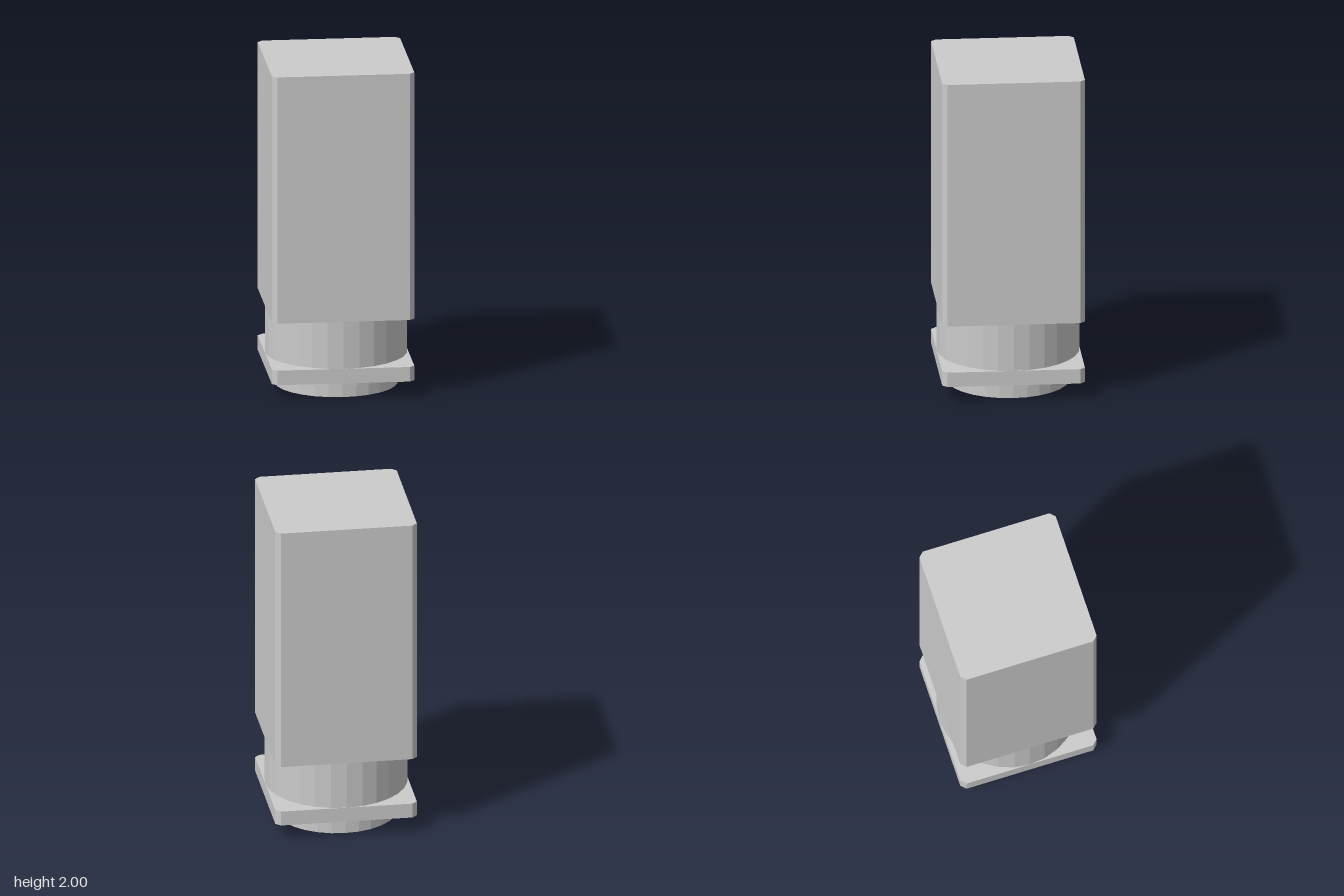
import * as THREE from 'three';

const SIDES = 28;
const material = new THREE.MeshStandardMaterial({ color: 0xcccccc, flatShading: true });

function addMesh(group, name, geometry, y = 0) {
  const mesh = new THREE.Mesh(geometry, material);
  mesh.name = name;
  mesh.position.y = y;
  group.add(mesh);
}

// Upright square block with chamfered vertical edges
function chamferedBlock(half, chamfer, height) {
  const inner = half - chamfer;
  const outline = [
    [half, -inner], [half, inner], [inner, half], [-inner, half],
    [-half, inner], [-half, -inner], [-inner, -half], [inner, -half],
  ].map(([x, y]) => new THREE.Vector2(x, y));
  const geometry = new THREE.ExtrudeGeometry(new THREE.Shape(outline), { depth: height, bevelEnabled: false });
  return geometry.rotateX(-Math.PI / 2);
}

function disc(radius, height) {
  return new THREE.CylinderGeometry(radius, radius, height, SIDES).translate(0, height / 2, 0);
}

export function createModel() {
  const group = new THREE.Group();
  group.name = 'squareHeadedFitting';

  // Tall body, round neck and square plate
  addMesh(group, 'body', chamferedBlock(0.427, 0.03, 1.52), 0.48);
  addMesh(group, 'neck', disc(0.427, 0.29), 0.19);
  addMesh(group, 'plate', chamferedBlock(0.427, 0.03, 0.09), 0.1);

  // Stepped round foot with a shallow bore
  addMesh(group, 'collar', disc(0.39, 0.03), 0.07);
  const ring = [[0.195, 0.07], [0.195, 0], [0.37, 0], [0.37, 0.07]].map(([r, y]) => new THREE.Vector2(r, y));
  addMesh(group, 'footRing', new THREE.LatheGeometry(ring, SIDES));

  return group;
}
